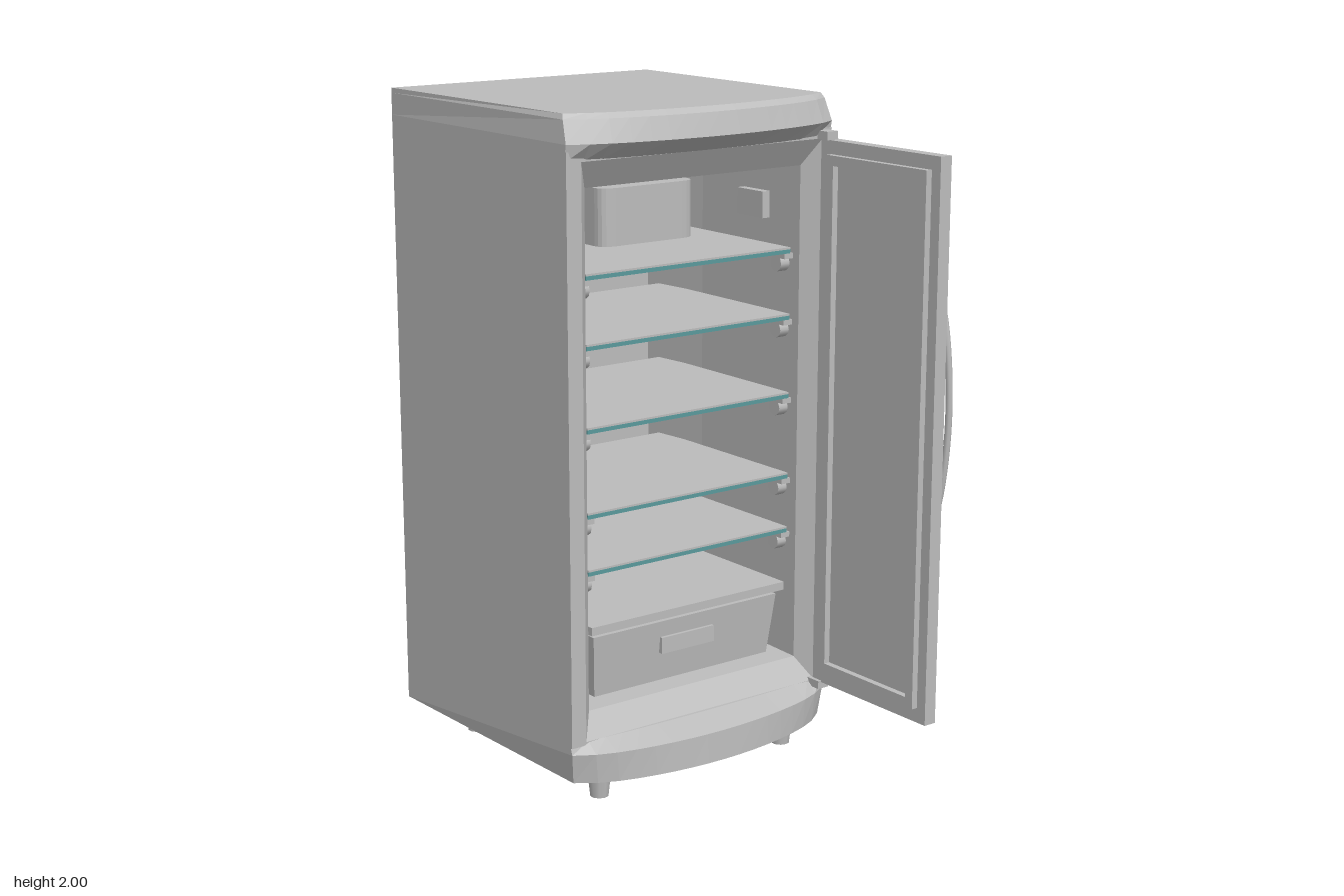
import * as THREE from 'three';

const grey = new THREE.MeshStandardMaterial({ color: 0xbcbcbc });
grey.name = 'light grey enamel';
const teal = new THREE.MeshStandardMaterial({ color: 0x5a9a9c });
teal.name = 'teal glass';

// Closed skin through rings of points, flat faced, with both ends capped
function loft(rings) {
  const p = [], n = rings[0].length;
  const tri = (a, b, c) => p.push(...a, ...b, ...c);
  for (let k = 0; k < rings.length - 1; k++) {
    for (let i = 0; i < n; i++) {
      const j = (i + 1) % n, lo = rings[k], hi = rings[k + 1];
      tri(lo[i], lo[j], hi[j]);
      tri(lo[i], hi[j], hi[i]);
    }
  }
  const first = rings[0], last = rings[rings.length - 1];
  for (let i = 1; i < n - 1; i++) {
    tri(first[0], first[i + 1], first[i]);
    tri(last[0], last[i], last[i + 1]);
  }
  const g = new THREE.BufferGeometry();
  g.setAttribute('position', new THREE.Float32BufferAttribute(p, 3));
  g.computeVertexNormals();
  return g;
}

// Upright rectangle at depth z
const rect = (x0, x1, y0, y1, z) => [[x0, y0, z], [x1, y0, z], [x1, y1, z], [x0, y1, z]];

// Level cabinet outline with a bowed front; inset narrows the front corners
function bowed(y, corner, bow, inset = 0) {
  const ring = [], x0 = -0.49 + inset, x1 = 0.455 - inset, n = 16;
  for (let i = 0; i <= n; i++) {
    const t = i / n, s = 2 * t - 1;
    const arc = 1 - 0.75 * s * s - 0.25 * Math.pow(s, 8);
    ring.push([x0 + (x1 - x0) * t, y, corner + (bow - corner) * arc]);
  }
  ring.push([0.455, y, -0.705], [-0.49, y, -0.705]);
  return ring;
}

export function createModel() {
  const model = new THREE.Group();
  model.name = 'refrigerator';

  function add(name, geometry, material = grey, parent = model) {
    const mesh = new THREE.Mesh(geometry, material);
    mesh.name = name;
    parent.add(mesh);
    return mesh;
  }
  // Box given by its limits
  function box(name, x0, x1, y0, y1, z0, z1, material, parent) {
    const m = add(name, new THREE.BoxGeometry(x1 - x0, y1 - y0, z1 - z0), material, parent);
    m.position.set((x0 + x1) / 2, (y0 + y1) / 2, (z0 + z1) / 2);
    return m;
  }

  // Outer shell turning inward into the stepped liner
  add('cabinet', loft([
    rect(-0.49, 0.455, 0.19, 1.9, -0.705),
    rect(-0.49, 0.455, 0.19, 1.9, 0.2),
    rect(-0.44, 0.42, 0.2, 1.87, 0.2),
    rect(-0.395, 0.38, 0.27, 1.79, 0.15),
    rect(-0.385, 0.37, 0.29, 1.77, -0.3),
    rect(-0.36, 0.345, 0.32, 1.74, -0.55),
  ]));

  // Bowed top cap and plinth
  add('topCap', loft([
    bowed(1.87, 0.19, 0.2), bowed(1.92, 0.2, 0.29), bowed(1.985, 0.175, 0.27, 0.008),
    bowed(2, 0.165, 0.25, 0.015),
  ]));
  add('plinth', loft([
    bowed(0.08, 0.19, 0.31, 0.01), bowed(0.17, 0.2, 0.305), bowed(0.2, 0.19, 0.21),
  ]));

  // Tapered feet
  for (const x of [-0.36, 0.33]) {
    for (const z of [0.15, -0.51]) {
      const foot = add('foot', new THREE.CylinderGeometry(0.038, 0.028, 0.09, 10));
      foot.position.set(x, 0.045, z);
    }
  }

  // Glass shelves with grey top sheets, resting on side brackets
  for (const y of [1.54, 1.34, 1.1, 0.85, 0.68]) {
    const shelf = new THREE.Group();
    shelf.name = 'shelf';
    model.add(shelf);
    box('shelfGlass', -0.378, 0.362, y - 0.012, y, -0.5, 0.13, teal, shelf);
    box('shelfTop', -0.378, 0.362, y, y + 0.006, -0.5, 0.13, grey, shelf);
    for (const [x0, x1] of [[-0.388, -0.355], [0.34, 0.373]]) {
      box('shelfRail', x0, x1, y - 0.028, y - 0.012, -0.45, 0.13, grey, shelf);
      const peg = add('shelfBracket', new THREE.CylinderGeometry(0.025, 0.025, x1 - x0, 10), grey, shelf);
      peg.rotation.z = Math.PI / 2;
      peg.position.set((x0 + x1) / 2, y - 0.045, 0.09);
    }
  }

  // Cooling box under the ceiling, with rounded front corners
  const cooler = new THREE.Shape();
  cooler.moveTo(-0.18, 0.55);
  cooler.lineTo(-0.18, 0.12);
  cooler.quadraticCurveTo(-0.18, 0.08, -0.13, 0.08);
  cooler.lineTo(0.11, 0.08);
  cooler.quadraticCurveTo(0.16, 0.08, 0.16, 0.12);
  cooler.lineTo(0.16, 0.55);
  const coolerMesh = add('coolingBox', new THREE.ExtrudeGeometry(cooler,
    { depth: 0.17, bevelEnabled: false, curveSegments: 5 }));
  coolerMesh.rotation.x = -Math.PI / 2;
  coolerMesh.position.set(0, 1.57, 0);
  coolerMesh.geometry.scale(1, -1, 1);
  // Restore the winding after the flip by mirroring back through a half turn
  coolerMesh.geometry.scale(-1, 1, 1);
  coolerMesh.geometry.rotateZ(Math.PI);
  coolerMesh.geometry.scale(1, 1, 1);
  coolerMesh.rotation.x = Math.PI / 2;
  coolerMesh.position.y = 1.74;
  coolerMesh.geometry.rotateZ(Math.PI);
  coolerMesh.position.x = -0.01;
  box('lamp', 0.345, 0.372, 1.62, 1.7, -0.1, 0.02);

  // Drawer under its cover shelf
  box('drawerCover', -0.375, 0.345, 0.49, 0.515, -0.5, 0.14);
  add('drawer', loft([
    [[-0.34, 0.285, 0.1], [0.31, 0.285, 0.1], [0.31, 0.285, -0.46], [-0.34, 0.285, -0.46]],
    [[-0.355, 0.475, 0.12], [0.33, 0.475, 0.12], [0.33, 0.475, -0.48], [-0.355, 0.475, -0.48]],
  ]));
  box('drawerGrip', -0.11, 0.085, 0.375, 0.425, 0.1, 0.125);

  // Open door with a raised rim around its inner face
  const door = new THREE.Group();
  door.name = 'door';
  model.add(door);
  box('doorPanel', 0.412, 0.453, 0.205, 1.87, 0.205, 0.705, grey, door);
  for (const [a, b] of [[0.25, 0.28], [0.64, 0.67]]) {
    box('doorRimSide', 0.392, 0.412, 0.25, 1.83, a, b, grey, door);
  }
  for (const y of [0.25, 1.8]) {
    box('doorRimEnd', 0.392, 0.412, y, y + 0.03, 0.28, 0.64, grey, door);
  }
  for (const y of [0.185, 1.87]) {
    box('hinge', 0.4, 0.44, y, y + 0.025, 0.16, 0.245, grey, door);
  }

  // Curved bar handle on short posts
  const path = new THREE.CatmullRomCurve3([
    [0.468, 1.57, 0.62], [0.477, 1.4, 0.672], [0.482, 1.15, 0.694], [0.479, 0.92, 0.678], [0.47, 0.72, 0.635],
  ].map((v) => new THREE.Vector3(...v)));
  add('handle', new THREE.TubeGeometry(path, 24, 0.01, 8), grey, door);
  for (const t of [0.04, 0.96]) {
    const q = path.getPoint(t);
    box('handlePost', 0.45, q.x, q.y - 0.008, q.y + 0.008, q.z - 0.008, q.z + 0.008, grey, door);
  }
  for (const t of [0, 1]) {
    const end = add('handleEnd', new THREE.SphereGeometry(0.01, 8, 6), grey, door);
    end.position.copy(path.getPoint(t));
  }

  return model;
}
